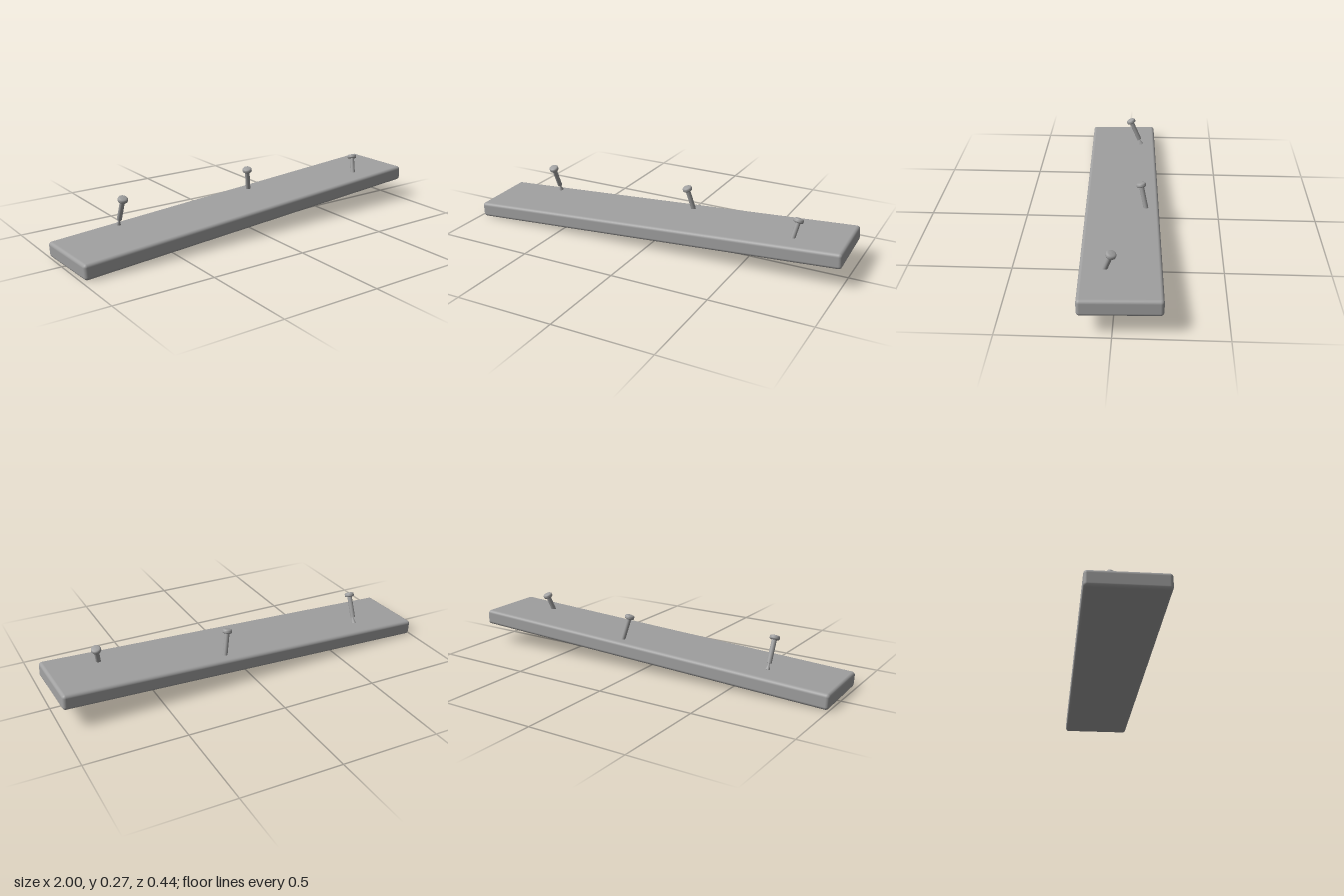
import * as THREE from 'three';
import { RoundedBoxGeometry } from 'three/addons/geometries/RoundedBoxGeometry.js';

const UP = new THREE.Vector3(0, 1, 0);

export function createModel() {
  const grey = new THREE.MeshStandardMaterial({ color: 0xa0a0a0 });
  grey.name = 'plain grey';
  const model = new THREE.Group();
  model.name = 'nailedPlank';

  const add = (parent, name, geometry, y) => {
    const mesh = new THREE.Mesh(geometry, grey);
    mesh.name = name;
    mesh.position.y = y;
    parent.add(mesh);
    return mesh;
  };

  // Plank: rounded board, raised at one end and turned slightly
  const plank = add(model, 'plank', new RoundedBoxGeometry(1.987, 0.077, 0.368, 4, 0.016), 0.092);
  plank.rotation.set(0, 0.035, 0.0535, 'YZX');

  // Nail head: flat disc with rounded rim and a shallow groove, axis along y
  const headProfile = [
    [0, -0.011], [0.018, -0.011], [0.0225, -0.009], [0.0245, -0.005], [0.0245, -0.001],
    [0.0235, 0], [0.0245, 0.001], [0.0235, 0.006], [0.020, 0.0095], [0.014, 0.011], [0, 0.012],
  ].map(([r, y]) => new THREE.Vector2(r, y));
  const headGeometry = new THREE.LatheGeometry(headProfile, 28);
  const shaftGeometry = new THREE.CylinderGeometry(0.0122, 0.0122, 0.118, 24);
  const tipGeometry = new THREE.ConeGeometry(0.0115, 0.032, 24);

  // Nails: centre of each head and the direction the nail leans
  const nails = [
    ['rightNail', [-0.667, 0.255, -0.02], [-0.01, 1, 0.43]],
    ['middleNail', [0.106, 0.252, -0.098], [-0.22, 1, 0.22]],
    ['leftNail', [0.745, 0.25, 0.016], [0.18, 1, -0.35]],
  ];
  for (const [name, head, lean] of nails) {
    const nail = new THREE.Group();
    nail.name = name;
    add(nail, 'nailHead', headGeometry, 0);
    add(nail, 'nailShaft', shaftGeometry, -0.064);
    add(nail, 'nailTip', tipGeometry, -0.138);
    nail.position.set(...head);
    nail.quaternion.setFromUnitVectors(UP, new THREE.Vector3(...lean).normalize());
    model.add(nail);
  }

  return model;
}
